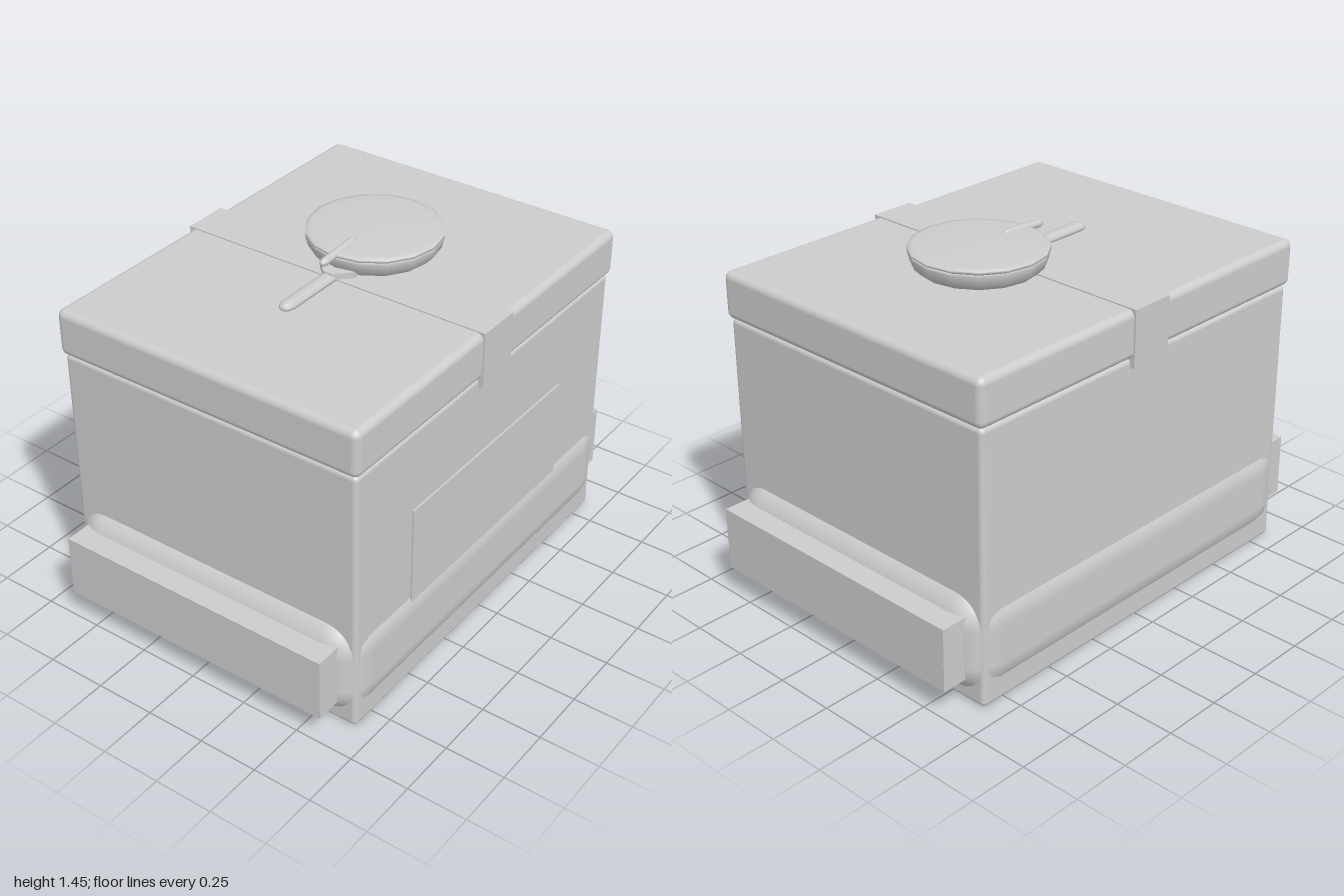
import * as THREE from 'three';
import { RoundedBoxGeometry } from 'three/addons/geometries/RoundedBoxGeometry.js';

export function createModel() {
  const model = new THREE.Group();
  model.name = 'storageBox';
  const grey = new THREE.MeshStandardMaterial({ color: 0xcccccc });
  grey.name = 'paleGrey';

  const add = (name, geometry, x = 0, y = 0, z = 0, parent = model) => {
    const mesh = new THREE.Mesh(geometry, grey);
    mesh.name = name;
    mesh.position.set(x, y, z);
    parent.add(mesh);
    return mesh;
  };
  // Box given by its bottom and top heights
  const block = (name, w, y0, y1, d, radius = 0, x = 0, z = 0) => add(name,
    radius ? new RoundedBoxGeometry(w, y1 - y0, d, 3, radius) : new THREE.BoxGeometry(w, y1 - y0, d),
    x, (y0 + y1) / 2, z);

  // Chest, lid and the soft bulging band around the base
  block('body', 1.72, 0, 1.145, 1.34, 0.02);
  block('lid', 1.75, 1.145, 1.34, 1.365, 0.03);
  block('baseBand', 1.84, 0.02, 0.475, 1.375, 0.15);

  // Strap over the lid, plate on the front
  block('strap', 0.19, 1.11, 1.345, 1.38, 0, -0.005);
  block('frontPlate', 1.03, 0.3, 0.8, 0.009, 0, 0, 0.6735);

  // Side rails
  for (const side of [-1, 1]) {
    block(side > 0 ? 'leftRail' : 'rightRail', 0.12, 0.12, 0.385, 1.22, 0, side * 0.94);
  }

  // Round pan with a domed cover
  const pan = new THREE.Group();
  pan.name = 'coveredPan';
  pan.position.set(0.19, 1.335, 0);
  model.add(pan);
  const lathe = (points) => new THREE.LatheGeometry(
    points.map(([r, y]) => new THREE.Vector2(r, y)), 16);
  add('panBowl', lathe([[0, 0], [0.19, 0], [0.235, 0.015], [0.262, 0.042], [0.272, 0.08],
    [0.265, 0.083], [0, 0.083]]), 0, 0, 0, pan);
  add('panCover', lathe([[0, 0.083], [0.26, 0.083], [0.273, 0.09], [0.273, 0.1],
    [0.25, 0.105], [0.17, 0.109], [0.08, 0.111], [0, 0.112]]), 0, 0, 0, pan);

  // Handles: bars with rounded, tapered ends
  const handle = (name, length, height, width) => {
    const geometry = new THREE.CapsuleGeometry(0.5, 3, 4, 10);
    geometry.rotateZ(Math.PI / 2);
    geometry.scale(length / 4, height, width);
    return add(name, geometry);
  };
  handle('panHandle', 0.34, 0.04, 0.065).position.set(-0.23, 1.35, 0);
  const coverHandle = handle('coverHandle', 0.22, 0.032, 0.036);
  coverHandle.position.set(-0.05, 1.434, 0);
  coverHandle.rotation.z = 0.06;

  // Bracket joining the lower handle to the pan
  const bracket = new THREE.Shape();
  bracket.moveTo(-0.12, -0.02);
  bracket.lineTo(-0.06, -0.08);
  bracket.lineTo(0.02, -0.08);
  bracket.lineTo(0.02, 0.08);
  bracket.lineTo(-0.06, 0.08);
  bracket.lineTo(-0.12, 0.02);
  const bracketGeometry = new THREE.ExtrudeGeometry(bracket, { depth: 0.025, bevelEnabled: false });
  bracketGeometry.rotateX(-Math.PI / 2);
  add('handleBracket', bracketGeometry, 0, 1.35, 0);

  return model;
}
